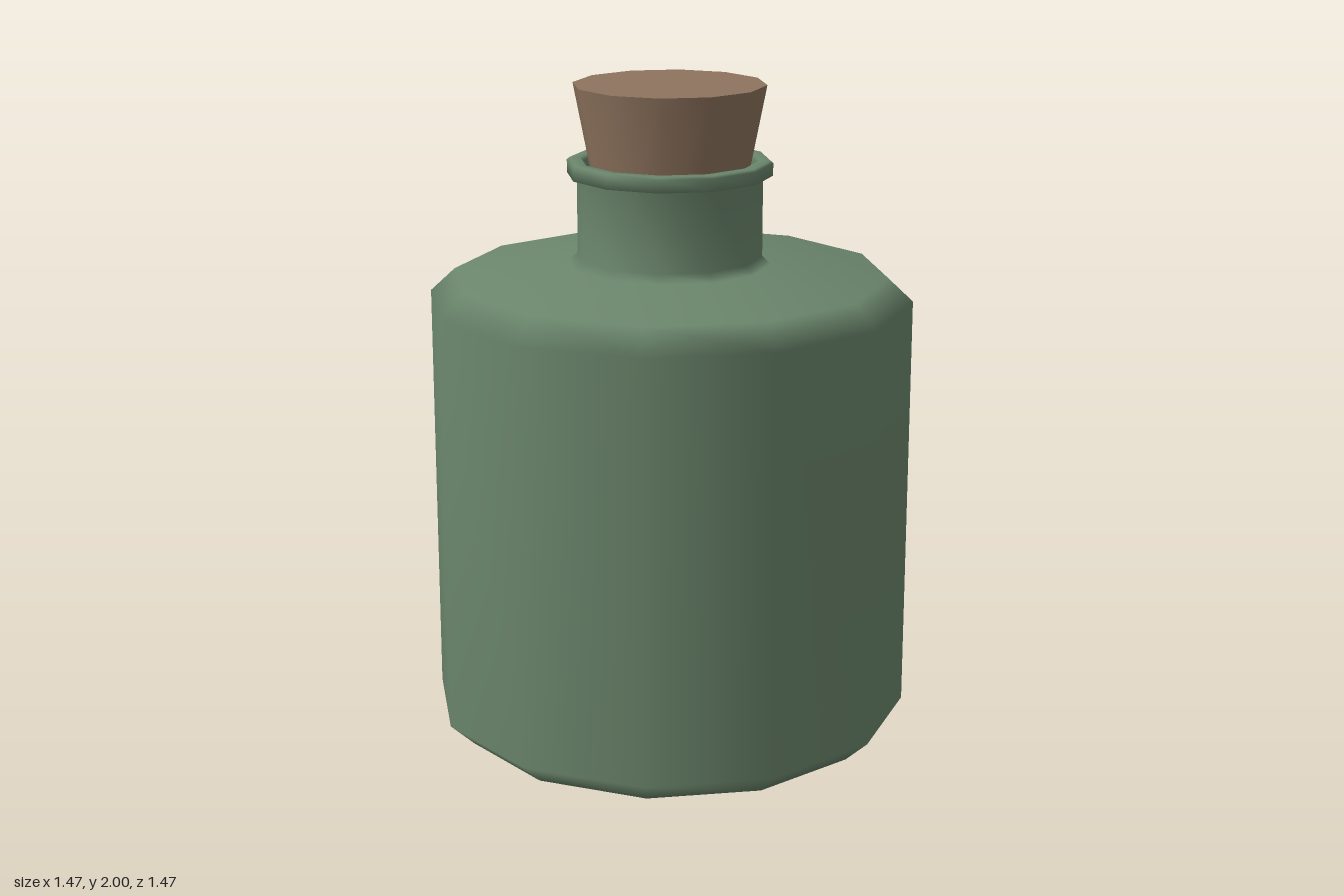
import * as THREE from 'three';
import { mergeVertices } from 'three/addons/utils/BufferGeometryUtils.js';

const SIDES = 12;

// Twelve-sided turned form with area-weighted smooth normals
function turned(profile) {
  const raw = new THREE.LatheGeometry(profile.map(([r, y]) => new THREE.Vector2(r, y)), SIDES);
  raw.deleteAttribute('normal');
  raw.deleteAttribute('uv');
  const geometry = mergeVertices(raw, 1e-4);
  geometry.computeVertexNormals();
  return geometry;
}

export function createModel() {
  const model = new THREE.Group();
  model.name = 'corkedBottle';
  const glass = new THREE.MeshStandardMaterial({ color: 0x6b866c });
  const cork = new THREE.MeshStandardMaterial({ color: 0x8f745e });

  const add = (name, geometry, material) => {
    const mesh = new THREE.Mesh(geometry, material);
    mesh.name = name;
    model.add(mesh);
    return mesh;
  };

  // Bottle: chamfered base, straight wall, sloping shoulder, neck, lip and mouth
  add('bottle', turned([
    [0, 0], [0.66, 0], [0.735, 0.07],
    [0.735, 1.355], [0.66, 1.425],
    [0.305, 1.46], [0.28, 1.485],
    [0.28, 1.725], [0.31, 1.73], [0.31, 1.768], [0.302, 1.775],
    [0.27, 1.775], [0.26, 1.765], [0.26, 1.5], [0, 1.5],
  ]), glass);

  // Tapered stopper seated inside the mouth
  const bottom = 1.6, top = 2;
  const stopper = add('stopper', new THREE.CylinderGeometry(0.29, 0.212, top - bottom, SIDES), cork);
  stopper.position.y = (top + bottom) / 2;

  return model;
}
